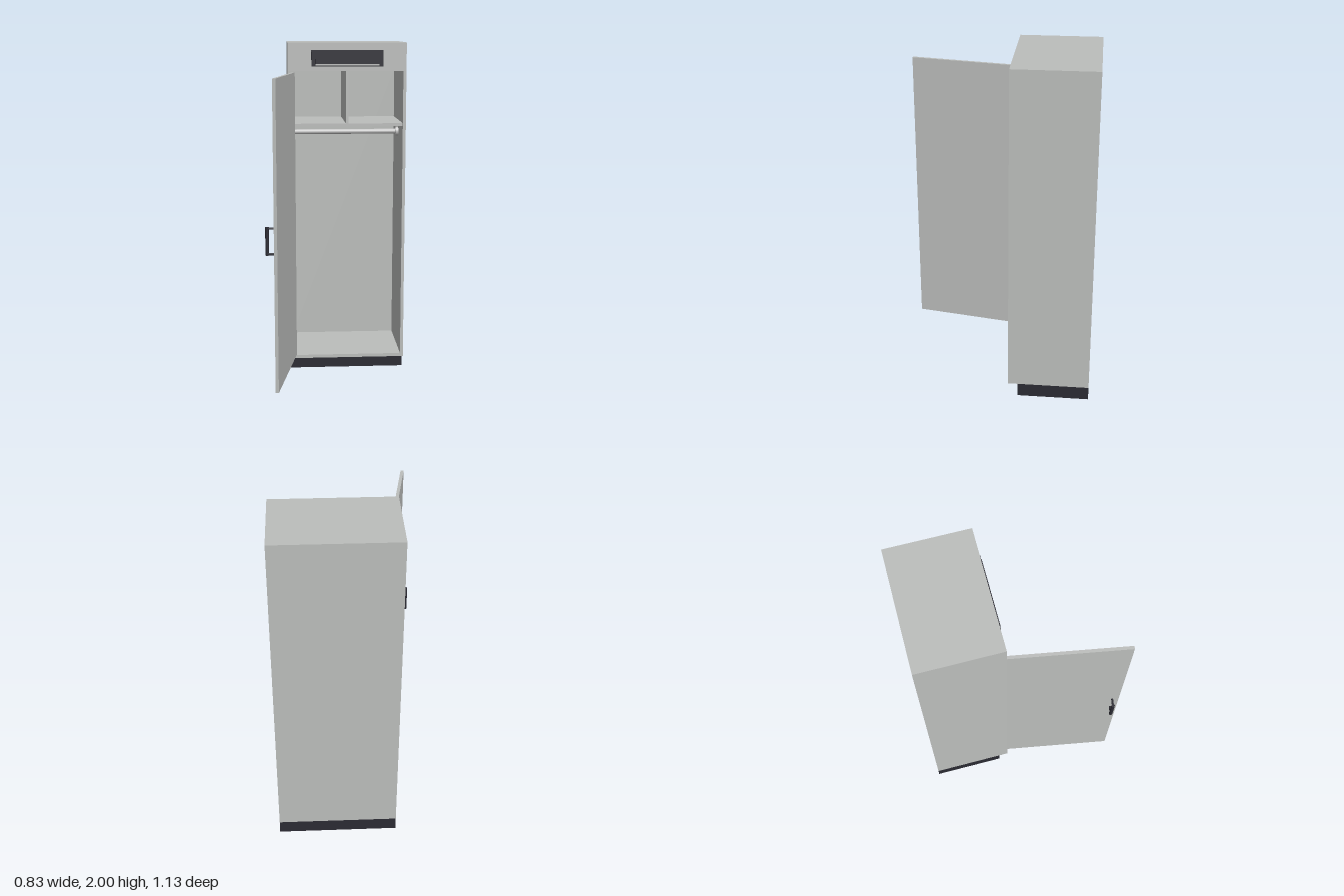
import * as THREE from 'three';

const paint = (name, color) => {
  const m = new THREE.MeshStandardMaterial({ color });
  m.name = name;
  return m;
};

export function createModel() {
  const grey = paint('grey panel', 0xbcbebc);
  const dark = paint('dark trim', 0x2b2b33);
  const metal = paint('rail metal', 0xc2c2c2);

  const model = new THREE.Group();
  model.name = 'wardrobe';

  // Box given by its lower and upper corners
  const box = (name, mat, [x0, y0, z0], [x1, y1, z1], parent = model) => {
    const mesh = new THREE.Mesh(new THREE.BoxGeometry(x1 - x0, y1 - y0, z1 - z0), mat);
    mesh.position.set((x0 + x1) / 2, (y0 + y1) / 2, (z0 + z1) / 2);
    mesh.name = name;
    parent.add(mesh);
    return mesh;
  };
  const rod = (name, mat, radius, length, pos, axis, parent = model) => {
    const geo = new THREE.CylinderGeometry(radius, radius, length, 24);
    if (axis === 'x') geo.rotateZ(Math.PI / 2);
    if (axis === 'z') geo.rotateX(Math.PI / 2);
    const mesh = new THREE.Mesh(geo, mat);
    mesh.position.set(...pos);
    mesh.name = name;
    parent.add(mesh);
  };

  // Carcass dimensions
  const L = -0.283, R = 0.415, B = -0.563, F = -0.087, T = 0.018;
  const iL = L + T, iR = R - T, iB = B + T;

  // Carcass
  box('plinth', dark, [L, 0, B], [R, 0.08, -0.143]);
  box('rightSide', grey, [L, 0.08, B], [iL, 1.835, F]);
  box('leftSide', grey, [iR, 0.08, B], [R, 1.835, F]);
  box('back', grey, [iL, 0.08, B], [iR, 1.835, iB]);
  box('floor', grey, [iL, 0.08, iB], [iR, 0.1, F]);
  box('header', grey, [L, 1.835, B], [R, 2, F]);

  // Upper compartments
  box('shelf', grey, [iL, 1.51, iB], [iR, 1.527, F - 0.005]);
  box('divider', grey, [0.059, 1.527, iB], [0.073, 1.835, F - 0.01]);

  // Clothes rail with end flanges
  const railZ = -0.325;
  rod('rail', metal, 0.015, iR - iL, [(iL + iR) / 2, 1.455, railZ], 'x');
  for (const x of [iL + 0.008, iR - 0.008]) rod('railFlange', metal, 0.029, 0.016, [x, 1.455, railZ], 'x');

  // Header control panel with light strip
  box('displayPanel', dark, [-0.145, 1.861, F], [0.278, 1.957, -0.081]);
  box('displayInset', dark, [-0.122, 1.865, -0.081], [0.255, 1.95, -0.078]);
  box('lightStrip', grey, [-0.12, 1.867, -0.078], [0.253, 1.876, -0.0775]);

  // Open door, pivoting on its inner hinge edge
  const door = new THREE.Group();
  door.name = 'door';
  door.position.set(-0.242, 0, -0.083);
  door.rotation.y = THREE.MathUtils.degToRad(-100);
  model.add(door);
  box('doorPanel', grey, [0, 0.105, 0], [0.656, 1.828, T], door);

  // Door handle
  rod('handleGrip', dark, 0.01, 0.156, [0.618, 0.953, 0.0615], 'y', door);
  for (const y of [0.882, 1.024]) rod('handlePost', dark, 0.006, 0.044, [0.618, y, 0.039], 'z', door);

  return model;
}
